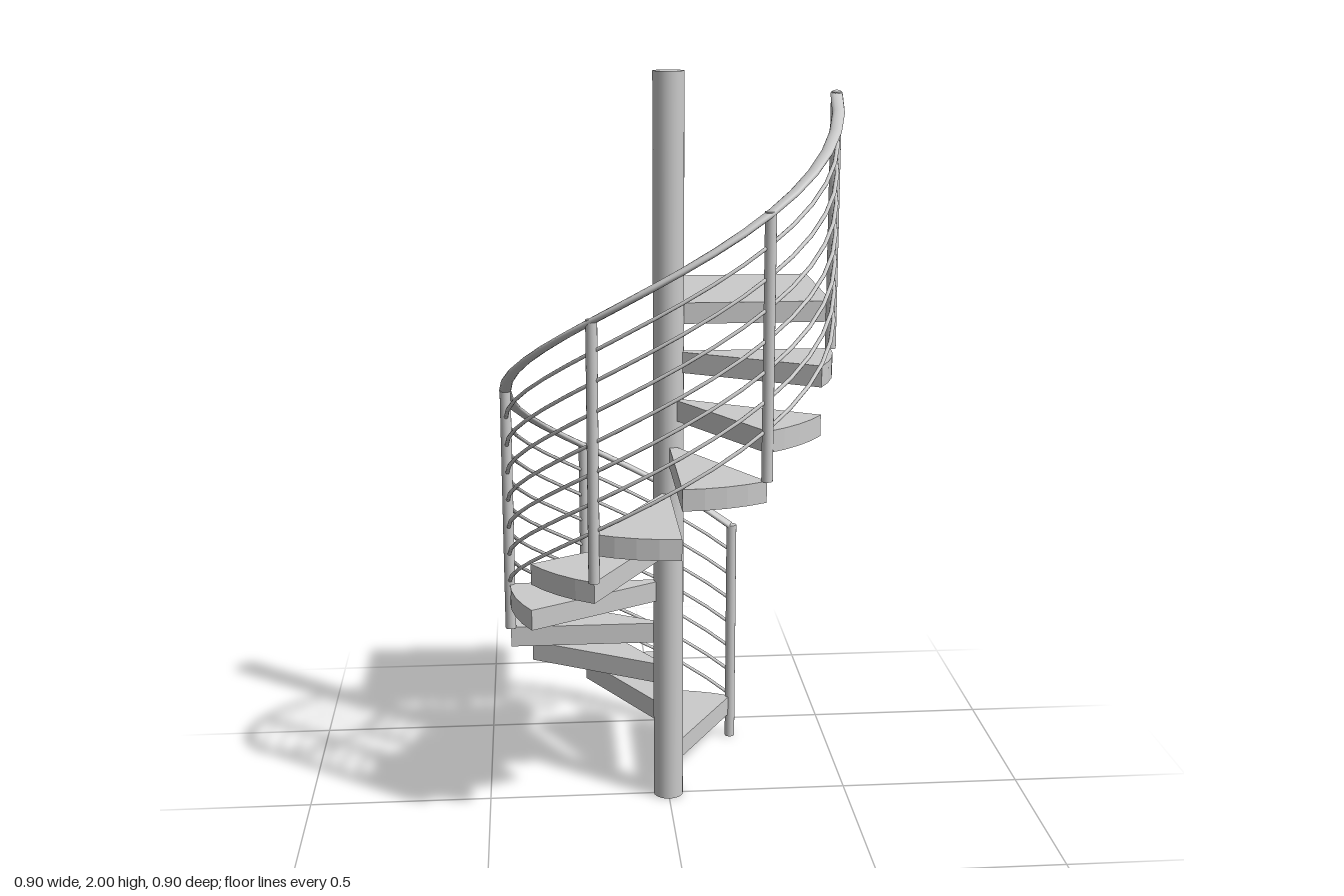
import * as THREE from 'three';
import { ParametricGeometry } from 'three/addons/geometries/ParametricGeometry.js';

const RISE = 0.1275, STEP = Math.PI / 6, R = 0.432, THICK = 0.056;
const START = Math.PI / 3, SWEEP = 10 * STEP, CLIMB = 10 * RISE;
const RAIL = 0.665;

export function createModel() {
  const group = new THREE.Group();
  const material = new THREE.MeshStandardMaterial({ color: 0xcccccc });

  const add = (name, geometry, x = 0, y = 0, z = 0) => {
    const mesh = new THREE.Mesh(geometry, material);
    mesh.name = name;
    mesh.position.set(x, y, z);
    group.add(mesh);
    return mesh;
  };

  // Helical bar with an elliptical section, following the climb of the stair
  const helix = (height, radial, vertical, sides) =>
    new ParametricGeometry((u, v, target) => {
      const a = START + u * SWEEP, s = v * Math.PI * 2;
      const r = R + radial * Math.cos(s);
      target.set(r * Math.cos(a), height + u * CLIMB + vertical * Math.sin(s), -r * Math.sin(a));
    }, 30, sides);

  // Central column
  add('column', new THREE.CylinderGeometry(0.041, 0.041, 2, 24), 0, 1, 0);

  // Wedge treads, each turned 30 degrees from the last
  const wedge = new THREE.Shape();
  wedge.moveTo(0, 0);
  for (let i = 0; i <= 4; i++) {
    const a = (STEP * i) / 4;
    wedge.lineTo(R * Math.cos(a), R * Math.sin(a));
  }
  wedge.closePath();
  const treadGeometry = new THREE.ExtrudeGeometry(wedge, { depth: THICK, bevelEnabled: false });
  treadGeometry.rotateX(-Math.PI / 2);
  for (let i = 0; i < 10; i++) {
    const tread = add(`tread${i + 1}`, treadGeometry, 0, RISE * (i + 1) - THICK, 0);
    tread.rotation.y = START + i * STEP;
  }

  // Square landing at the top
  add('landing', new THREE.BoxGeometry(R, THICK, R), R / 2, RISE * 11 - THICK / 2, -R / 2);

  // Railing posts at every second tread
  const postGeometry = new THREE.CylinderGeometry(0.0145, 0.0145, 0.67, 16);
  for (let i = 0; i <= 5; i++) {
    const a = START + i * 2 * STEP;
    add(`post${i + 1}`, postGeometry, R * Math.cos(a), i * 2 * RISE + 0.335, -R * Math.sin(a));
  }

  // Handrail and the thin bars beneath it
  add('handrail', helix(RAIL, 0.016, 0.01, 12));
  for (let i = 1; i <= 7; i++) add(`railBar${i}`, helix(RAIL - i * 0.076, 0.0055, 0.0055, 8));

  return group;
}
